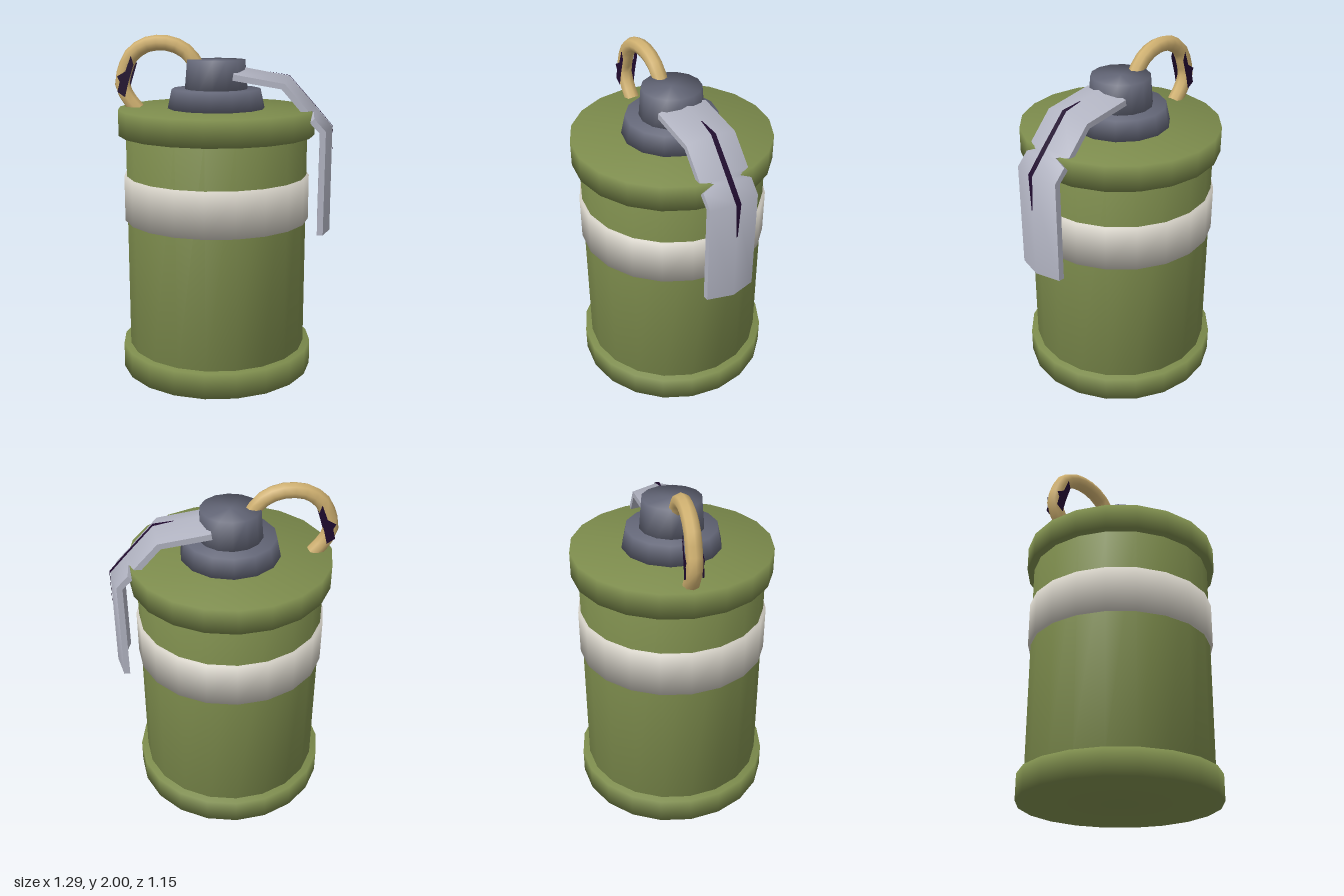
import * as THREE from 'three';
import { mergeVertices, toCreasedNormals } from 'three/addons/utils/BufferGeometryUtils.js';

const CX = -0.04; // axis of the canister

function material(name, color, side = THREE.FrontSide) {
  const m = new THREE.MeshStandardMaterial({ color, side });
  m.name = name;
  return m;
}

function mesh(name, geometry, mat) {
  const m = new THREE.Mesh(geometry, mat);
  m.name = name;
  return m;
}

// Cylinder whose normals run smoothly over its edges
function softCylinder(rTop, rBottom, y0, y1, sides) {
  let g = new THREE.CylinderGeometry(rTop, rBottom, y1 - y0, sides);
  g.deleteAttribute('normal');
  g.deleteAttribute('uv');
  g = mergeVertices(g, 1e-4);
  g.computeVertexNormals();
  return g.translate(CX, (y0 + y1) / 2, 0);
}

// Joins equal-length rows of points; closed wraps each row and caps both ends
function loft(rows, closed) {
  const n = rows[0].length, index = [];
  for (let i = 0; i < rows.length - 1; i++) {
    for (let j = 0; j < (closed ? n : n - 1); j++) {
      const a = i * n + j, b = i * n + (j + 1) % n;
      index.push(a, a + n, b, b, a + n, b + n);
    }
  }
  if (closed) {
    const e = (rows.length - 1) * n;
    for (const [a, b, c, d] of [[0, 1, 4, 5], [1, 2, 3, 4]]) {
      index.push(a, b, c, a, c, d, e + a, e + c, e + b, e + a, e + d, e + c);
    }
  }
  const g = new THREE.BufferGeometry();
  g.setAttribute('position', new THREE.Float32BufferAttribute(rows.flat(2), 3));
  g.setIndex(index);
  g.computeVertexNormals();
  return g;
}

// Lever stations: ridge x, y, outward normal x, y, half width
const leverPath = [
  [0.08, 1.825, 0.15, 0.99, 0.15],
  [0.385, 1.77, 0.5, 0.87, 0.15],
  [0.53, 1.61, 0.75, 0.66, 0.15],
  [0.547, 1.588, 0.75, 0.66, 0.08],
  [0.565, 1.567, 0.75, 0.66, 0.15],
  [0.64, 1.48, 0.95, 0.3, 0.15],
  [0.64, 0.86, 1, 0, 0.15],
];

// Folded sheet with a raised centre ridge
function leverGeometry() {
  const rows = leverPath.map(([x, y, nx, ny, w]) => {
    const p = (z, d) => [x - nx * d, y - ny * d, z];
    const drop = 0.04 * w / 0.15;
    return [p(-w, drop), p(0, 0), p(w, drop), p(w, drop + 0.035), p(0, 0.035), p(-w, drop + 0.035)];
  });
  return toCreasedNormals(loft(rows, true), 1.0);
}

// Narrow tapering groove along the lever ridge
function grooveGeometry(offset) {
  const path = [
    [0.27, 1.79, 0.2, 0.98, 0.003],
    [0.385, 1.77, 0.5, 0.87, 0.014],
    [0.547, 1.588, 0.75, 0.66, 0.016],
    [0.64, 1.48, 0.95, 0.3, 0.016],
    [0.64, 1.27, 1, 0, 0.004],
  ];
  return loft(path.map(([x, y, nx, ny, w]) =>
    [-w, w].map((z) => [x + nx * offset, y + ny * offset, z])), false);
}

export function createModel() {
  const green = material('olive green', 0x7c8b4c);
  const cream = material('pale band', 0xd0ccc2);
  const slate = material('slate metal', 0x646778);
  const silver = material('light steel', 0xb0b2c0, THREE.DoubleSide);
  const brass = material('brass', 0xcfb070, THREE.DoubleSide);
  const dark = material('dark purple', 0x1f0a2e, THREE.DoubleSide);

  const model = new THREE.Group();
  model.name = 'canister';

  // Canister and its neck: name, top radius, bottom radius, y range, sides
  const turned = [
    ['bottomRim', 0.577, 0.577, 0, 0.15, 20, green],
    ['body', 0.535, 0.535, 0.1, 1.48, 20, green],
    ['topRim', 0.577, 0.577, 1.43, 1.58, 20, green],
    ['band', 0.55, 0.55, 0.925, 1.19, 20, cream],
    ['neckBase', 0.262, 0.287, 1.575, 1.692, 14, slate],
    ['neckCap', 0.17, 0.185, 1.685, 1.86, 14, slate],
  ];
  for (const [name, rt, rb, y0, y1, sides, mat] of turned) {
    model.add(mesh(name, softCylinder(rt, rb, y0, y1, sides), mat));
  }

  // Safety lever with the groove on both faces
  const lever = new THREE.Group();
  lever.name = 'lever';
  lever.add(mesh('leverSheet', leverGeometry(), silver));
  lever.add(mesh('outerGroove', grooveGeometry(0.003), dark));
  lever.add(mesh('innerGroove', grooveGeometry(-0.043), dark));
  model.add(lever);

  // Pull ring
  const ringPoints = [
    [-0.15, 1.815], [-0.2, 1.89], [-0.28, 1.94], [-0.375, 1.955], [-0.47, 1.935],
    [-0.55, 1.87], [-0.58, 1.8], [-0.6, 1.72], [-0.57, 1.64], [-0.51, 1.565],
  ].map(([x, y]) => new THREE.Vector3(x, y, 0));
  const ringCurve = new THREE.CatmullRomCurve3(ringPoints);
  model.add(mesh('pullRing', new THREE.TubeGeometry(ringCurve, 14, 0.045, 8), brass));

  // Dark worn patches on both sides of the ring
  const patch = new THREE.Shape([
    [-0.535, 1.88], [-0.52, 1.83], [-0.555, 1.72], [-0.575, 1.64],
    [-0.62, 1.67], [-0.605, 1.73], [-0.62, 1.76], [-0.57, 1.79],
  ].map(([x, y]) => new THREE.Vector2(x, y)));
  for (const side of [-1, 1]) {
    const m = mesh(side > 0 ? 'frontRingPatch' : 'backRingPatch', new THREE.ShapeGeometry(patch), dark);
    m.position.z = side * 0.047;
    model.add(m);
  }
  return model;
}
